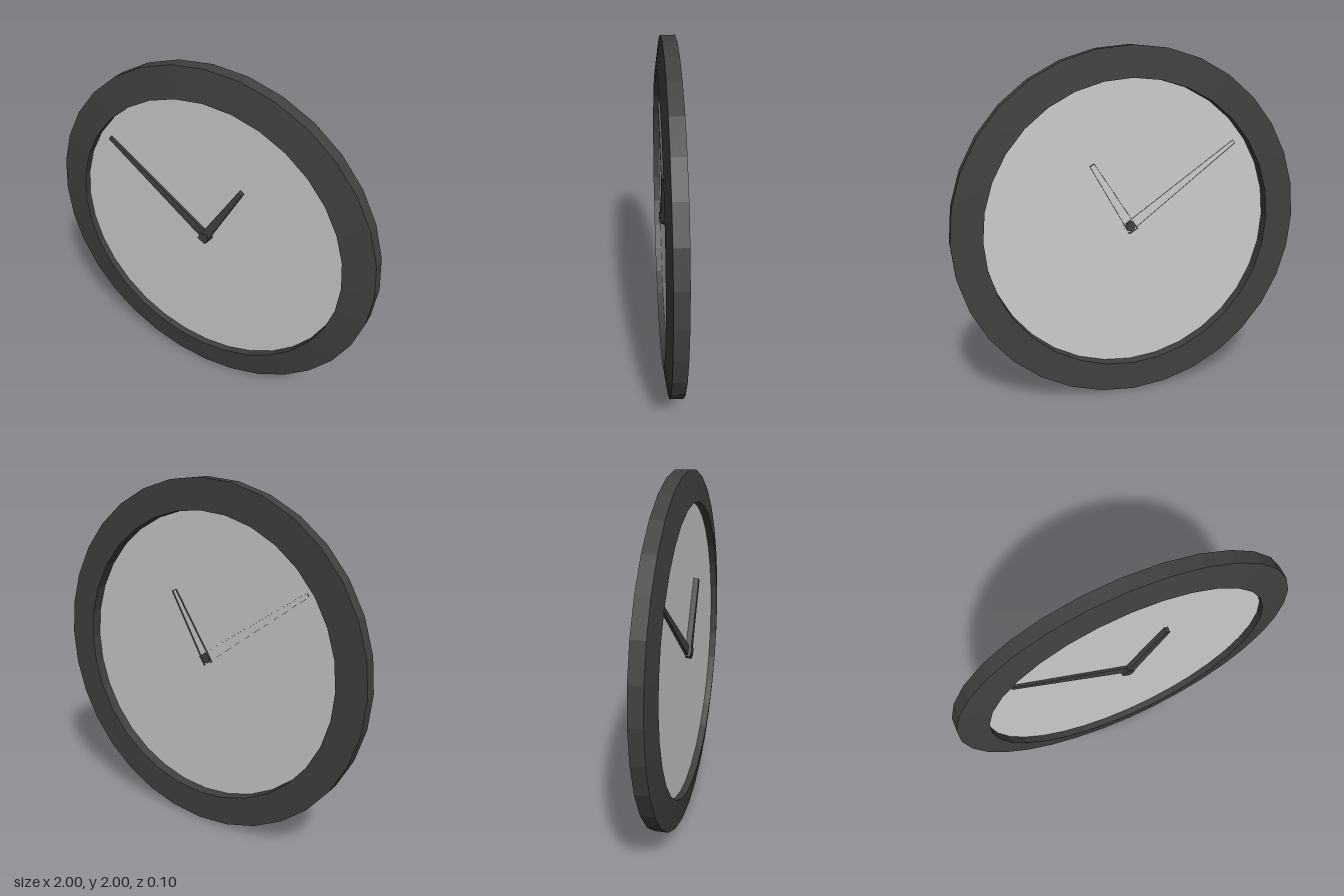
import * as THREE from 'three';

const SEGMENTS = 32;

export function createModel() {
  const clock = new THREE.Group();
  clock.name = 'wallClock';

  const dark = new THREE.MeshStandardMaterial({ color: 0x404040, flatShading: true });
  const darkOpen = new THREE.MeshStandardMaterial({ color: 0x404040, flatShading: true, side: THREE.DoubleSide });
  const grey = new THREE.MeshStandardMaterial({ color: 0xcccccc, side: THREE.DoubleSide });

  const add = (name, geometry, material) => {
    const mesh = new THREE.Mesh(geometry, material);
    mesh.name = name;
    mesh.position.y = 1;
    clock.add(mesh);
    return mesh;
  };

  // Rim: flat back, straight outer wall, front sloping up to the opening
  const profile = [[1, -0.05], [1, 0.025], [0.83, 0.05], [0.83, -0.05], [1, -0.05]]
    .map(([r, z]) => new THREE.Vector2(r, z));
  add('rim', new THREE.LatheGeometry(profile, SEGMENTS).rotateX(Math.PI / 2), dark);

  // Dial: thin disc set between the front and back of the rim
  const dial = new THREE.CircleGeometry(0.83, SEGMENTS, Math.PI / 2);
  add('dial', dial, grey).position.z = 0.01;

  // Hands: open-backed tapered bars passing just through the dial
  function addHand(name, tipX, tipY, tipHalf, baseHalf, back, front) {
    const length = Math.hypot(tipX, tipY);
    const tail = -0.035;
    const outline = [[-baseHalf, tail], [baseHalf, tail], [tipHalf, length], [-tipHalf, length]];
    const positions = [...outline.map(([x, y]) => [x, y, front]), ...outline.map(([x, y]) => [x, y, back])];
    const index = [0, 1, 2, 0, 2, 3];
    for (let i = 0; i < 4; i++) {
      const j = (i + 1) % 4;
      index.push(i, i + 4, j + 4, i, j + 4, j);
    }
    const geometry = new THREE.BufferGeometry();
    geometry.setAttribute('position', new THREE.Float32BufferAttribute(positions.flat(), 3));
    geometry.setIndex(index);
    geometry.computeVertexNormals();
    add(name, geometry, darkOpen).rotation.z = Math.atan2(-tipX, tipY);
  }
  addHand('hourHand', 0.22, 0.365, 0.014, 0.028, 0, 0.04);
  addHand('minuteHand', -0.625, 0.45, 0.011, 0.03, 0.006, 0.025);

  // Hub pin holding the hands
  const hub = new THREE.CylinderGeometry(0.028, 0.028, 0.045, 16).rotateX(Math.PI / 2);
  add('hub', hub, dark).position.z = 0.0225;

  return clock;
}
